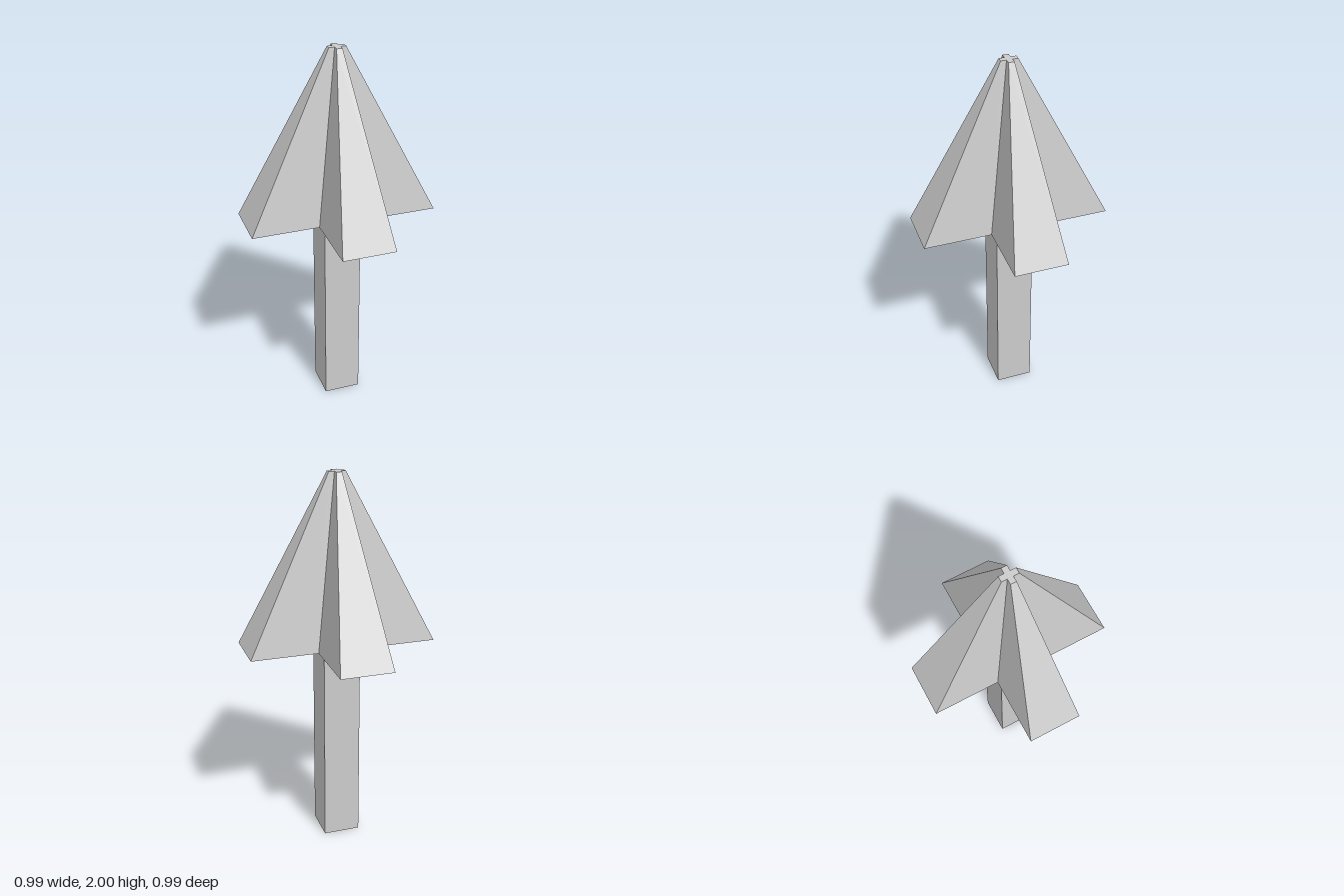
import * as THREE from 'three';

const BASE_Y = 1.105, TOP_Y = 2;
// half length and half width of the cross arms at the bottom and at the tip
const BASE = { length: 0.494, width: 0.14 };
const TIP = { length: 0.044, width: 0.015 };

// Plus-shaped outline, one arm corner set per quarter turn
function crossShape(length, width) {
  const points = [];
  for (let i = 0; i < 4; i++) {
    for (const [x, y] of [[length, -width], [length, width], [width, width]]) {
      points.push(new THREE.Vector2(x, y).rotateAround(new THREE.Vector2(), i * Math.PI / 2));
    }
  }
  return new THREE.Shape(points);
}

// Cross prism whose top ring is drawn in to the small tip cross
function createCrownGeometry() {
  const geometry = new THREE.ExtrudeGeometry(crossShape(BASE.length, BASE.width), {
    depth: TOP_Y - BASE_Y, bevelEnabled: false,
  });
  geometry.rotateX(-Math.PI / 2).translate(0, BASE_Y, 0);
  const shrink = (v) => Math.sign(v) * (Math.abs(v) > 0.3 ? TIP.length : TIP.width);
  const pos = geometry.attributes.position;
  for (let i = 0; i < pos.count; i++) {
    if (pos.getY(i) > (BASE_Y + TOP_Y) / 2) {
      pos.setX(i, shrink(pos.getX(i)));
      pos.setZ(i, shrink(pos.getZ(i)));
    }
  }
  geometry.computeVertexNormals();
  return geometry;
}

export function createModel() {
  const group = new THREE.Group();
  group.name = 'tree';
  const material = new THREE.MeshStandardMaterial({ color: 0xcccccc, flatShading: true });

  // Square trunk
  const trunk = new THREE.Mesh(new THREE.BoxGeometry(0.196, BASE_Y, 0.196), material);
  trunk.name = 'trunk';
  trunk.position.y = BASE_Y / 2;

  // Cross-shaped tapering foliage
  const crown = new THREE.Mesh(createCrownGeometry(), material);
  crown.name = 'crown';

  group.add(trunk, crown);
  return group;
}
